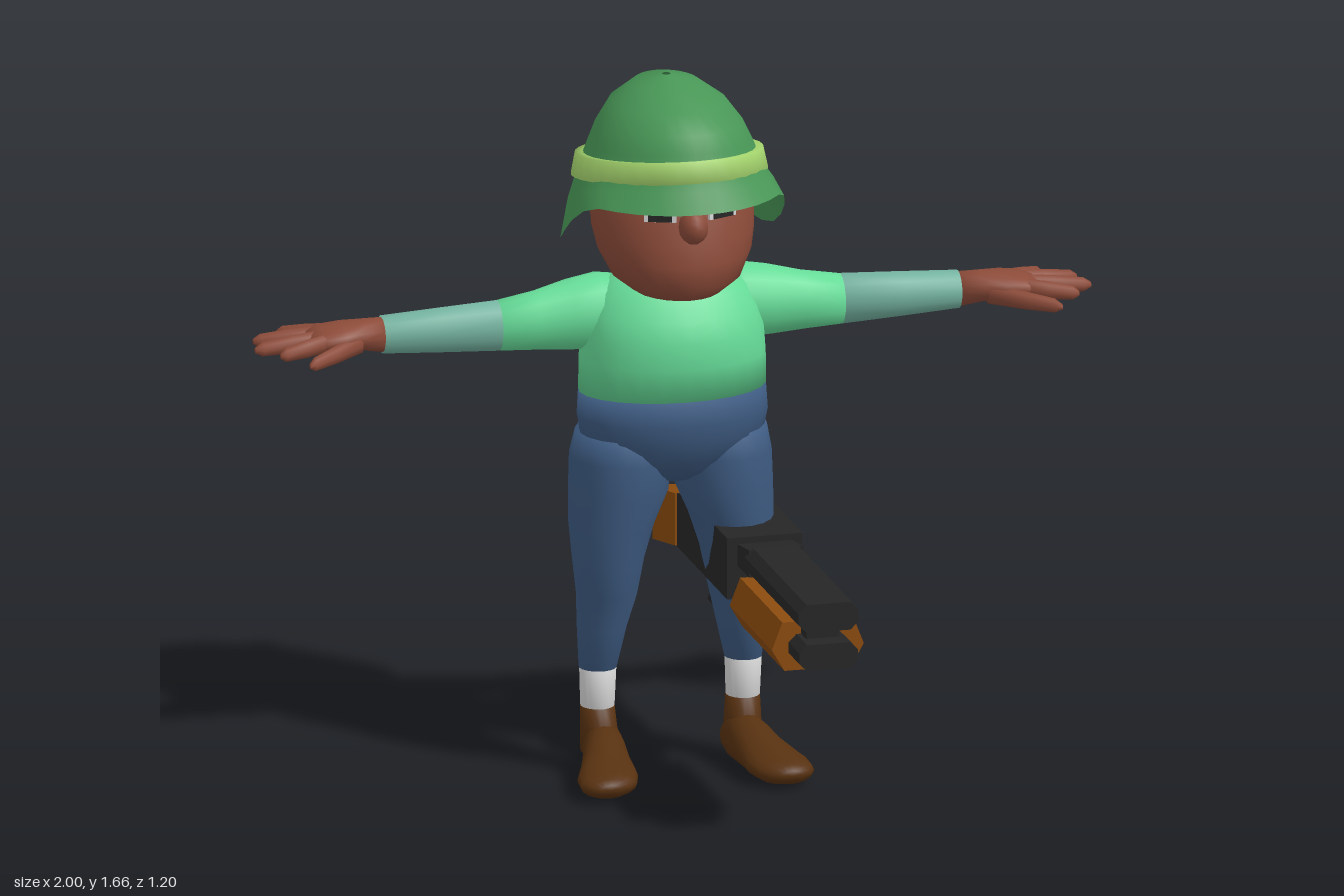
import * as THREE from 'three';

const mat = (name, color, side = THREE.FrontSide) =>
  Object.assign(new THREE.MeshStandardMaterial({ color, side }), { name });

// Elliptical cross-sections [t, centreA, centreB, radiusA, radiusB] strung along an axis
// (x: A=y B=z, y: A=x B=z, z: A=x B=y), with an optional rule that moves each point.
function loft(axis, rings, { n = 20, caps = true, warp } = {}) {
  const pos = [], idx = [];
  const flip = (axis === 'y') !== (rings[rings.length - 1][0] < rings[0][0]);
  const put = (t, a, b, i, ang) => {
    const v = axis === 'x' ? new THREE.Vector3(t, a, b)
      : axis === 'y' ? new THREE.Vector3(a, t, b) : new THREE.Vector3(a, b, t);
    if (warp) warp(v, i, ang);
    pos.push(v.x, v.y, v.z);
  };
  const tri = (a, b, c) => (flip ? idx.push(a, c, b) : idx.push(a, b, c));
  rings.forEach(([t, ca, cb, ra, rb], i) => {
    for (let j = 0; j < n; j++) {
      const ang = (j / n) * Math.PI * 2;
      put(t, ca + ra * Math.cos(ang), cb + rb * Math.sin(ang), i, ang);
    }
  });
  for (let i = 0; i < rings.length - 1; i++) for (let j = 0; j < n; j++) {
    const a = i * n + j, b = i * n + (j + 1) % n;
    tri(a, b, b + n);
    tri(a, b + n, a + n);
  }
  if (caps) {
    const last = rings.length - 1, s = rings.length * n;
    put(rings[0][0], rings[0][1], rings[0][2], 0, 0);
    put(rings[last][0], rings[last][1], rings[last][2], last, 0);
    for (let j = 0; j < n; j++) {
      const k = (j + 1) % n;
      tri(s, k, j);
      tri(s + 1, last * n + j, last * n + k);
    }
  }
  const g = new THREE.BufferGeometry();
  g.setAttribute('position', new THREE.Float32BufferAttribute(pos, 3));
  g.setIndex(idx);
  g.computeVertexNormals();
  return g;
}

// Ring for an upright loft, from half-width and front/back depth
const slab = (y, rx, front, back) => [y, 0, (front + back) / 2, rx, (front - back) / 2];

const polygon = (pts) => new THREE.Shape(pts.map(([a, b]) => new THREE.Vector2(a, b)));

// Side outline [z, y] given a thickness in x
function sideSolid(pts, x, width) {
  const g = new THREE.ExtrudeGeometry(polygon(pts), { depth: width, bevelEnabled: false });
  return g.translate(0, 0, -width / 2).rotateY(-Math.PI / 2).translate(x, 0, 0);
}

// Front outline [x, y] drawn out from z0 to z1
const frontSolid = (pts, z0, z1) =>
  new THREE.ExtrudeGeometry(polygon(pts), { depth: z1 - z0, bevelEnabled: false }).translate(0, 0, z0);

export function createModel() {
  const root = new THREE.Group();
  root.name = 'soldier';
  const helmetGreen = mat('helmetGreen', 0x489656, THREE.DoubleSide);
  const bandLime = mat('bandLime', 0xa6d66e, THREE.DoubleSide);
  const skin = mat('skin', 0x8c4b39);
  const shirt = mat('shirtGreen', 0x66dc98);
  const sleeve = mat('sleeveTeal', 0x74b29f);
  const blue = mat('trouserBlue', 0x3d5a80);
  const white = mat('sockWhite', 0xd8d8d8);
  const shoeBrown = mat('shoeBrown', 0x573110);
  const black = mat('gunBlack', 0x262626);
  const wood = mat('gunWood', 0x8c4b0e);
  const add = (parent, name, geo, material) => {
    const m = new THREE.Mesh(geo, material);
    m.name = name;
    parent.add(m);
    return m;
  };

  // Torso
  add(root, 'shirt', loft('y', [
    slab(0.92, 0.222, 0.0, -0.3), slab(1.0, 0.22, 0.013, -0.31), slab(1.06, 0.215, 0.015, -0.31),
    slab(1.11, 0.205, -0.005, -0.295), slab(1.16, 0.18, -0.035, -0.27), slab(1.195, 0.14, -0.07, -0.24),
    slab(1.21, 0.09, -0.1, -0.21),
  ], { n: 24 }), shirt);
  add(root, 'waist', loft('y', [
    slab(0.705, 0.05, -0.09, -0.2), slab(0.725, 0.12, -0.06, -0.25), slab(0.76, 0.18, -0.03, -0.28),
    slab(0.81, 0.217, -0.005, -0.297), slab(0.86, 0.226, 0.003, -0.3), slab(0.92, 0.222, 0.0, -0.3),
  ], { n: 24 }), blue);

  // Head
  const head = new THREE.Group();
  head.name = 'head';
  root.add(head);
  add(head, 'face', loft('y', [
    slab(1.155, 0.06, -0.04, -0.22), slab(1.17, 0.105, 0.015, -0.25), slab(1.205, 0.15, 0.052, -0.285),
    slab(1.26, 0.178, 0.056, -0.315), slab(1.31, 0.188, 0.046, -0.335), slab(1.38, 0.192, 0.028, -0.34),
    slab(1.45, 0.17, 0.0, -0.33), slab(1.5, 0.12, -0.05, -0.29),
  ], { n: 24 }), skin);
  add(head, 'nose', new THREE.SphereGeometry(1, 12, 8).scale(0.035, 0.042, 0.042).translate(0, 1.355, 0.036), skin);
  for (const s of [1, -1]) {
    const eye = new THREE.Group();
    eye.name = s > 0 ? 'leftEye' : 'rightEye';
    eye.position.set(s * 0.074, 1.385, 0.017);
    eye.rotation.y = s * 0.38;
    head.add(eye);
    add(eye, 'eyeWhite', new THREE.BoxGeometry(0.075, 0.036, 0.009), white);
    add(eye, 'pupil', new THREE.BoxGeometry(0.055, 0.038, 0.009).translate(0, 0.002, 0.003), black);
  }

  // Helmet: tilted dome whose rim dips at the sides and lifts over the face
  const tilt = (v) => { v.y += (v.z + 0.175) * 0.16 * THREE.MathUtils.clamp((1.655 - v.y) / 0.17, 0, 1); };
  const rimY = (s) => 1.27 + 0.135 * THREE.MathUtils.smoothstep(s, -0.35, 0.6)
    + 0.055 * THREE.MathUtils.smoothstep(-s, 0.35, 1);
  const rimBlend = [0, 0, 0, 0, 0, 0, 0.5, 1];
  add(head, 'helmet', loft('y', [
    slab(1.656, 0.01, -0.19, -0.21), slab(1.64, 0.075, -0.1, -0.29), slab(1.6, 0.133, -0.02, -0.352),
    slab(1.55, 0.168, 0.035, -0.385), slab(1.5, 0.19, 0.055, -0.4), slab(1.455, 0.208, 0.065, -0.408),
    slab(1.42, 0.238, 0.088, -0.415), slab(1.38, 0.26, 0.113, -0.405),
  ].reverse(), {
    n: 32, caps: false,
    warp: (v, i, ang) => {
      const w = rimBlend[7 - i];
      const flat = w > 0 ? 1.455 : v.y;
      v.y = flat;
      tilt(v);
      v.y = THREE.MathUtils.lerp(v.y, rimY(Math.sin(ang)), w);
    },
  }), helmetGreen);
  add(head, 'helmetBand', loft('y', [
    slab(1.43, 0.205, 0.05, -0.4), slab(1.43, 0.227, 0.078, -0.424),
    slab(1.482, 0.216, 0.07, -0.422), slab(1.482, 0.19, 0.05, -0.39),
  ], { n: 32, caps: false, warp: tilt }), bandLime);
  for (const s of [1, -1]) {
    const knot = add(head, 'bandKnot', new THREE.BoxGeometry(0.035, 0.055, 0.02), bandLime);
    knot.position.set(s * 0.1, 1.422, -0.398);
    knot.rotation.y = s * 0.4;
  }

  for (const s of [1, -1]) {
    const side = s > 0 ? 'left' : 'right';
    // Arm and hand
    const arm = new THREE.Group();
    arm.name = side + 'Arm';
    root.add(arm);
    const along = (rings, n) => loft('x', rings.map(([x, ...r]) => [x * s, ...r]), { n });
    add(arm, 'upperSleeve', along([
      [0.1, 1.1, -0.18, 0.085, 0.08], [0.17, 1.105, -0.18, 0.09, 0.085], [0.24, 1.1, -0.18, 0.083, 0.075],
      [0.32, 1.093, -0.177, 0.07, 0.059], [0.41, 1.088, -0.175, 0.06, 0.05],
    ], 16), shirt);
    add(arm, 'forearmSleeve', along([
      [0.41, 1.088, -0.175, 0.06, 0.05], [0.55, 1.089, -0.172, 0.053, 0.045], [0.69, 1.09, -0.17, 0.045, 0.04],
    ], 16), sleeve);
    add(arm, 'palm', along([
      [0.69, 1.09, -0.17, 0.041, 0.039], [0.74, 1.096, -0.163, 0.036, 0.048], [0.79, 1.098, -0.157, 0.034, 0.064],
      [0.84, 1.096, -0.16, 0.028, 0.068], [0.87, 1.092, -0.162, 0.018, 0.055],
    ], 16), skin);
    const fingers = [
      [0.79, -0.195, 0.915, -0.265], [0.82, -0.185, 0.985, -0.213], [0.82, -0.155, 1.0, -0.142],
      [0.82, -0.125, 0.955, -0.082], [0.75, -0.13, 0.9, -0.025],
    ];
    fingers.forEach(([x0, z0, x1, z1], i) => {
      const at = (k, r) => [x0 + (x1 - x0) * k, 1.096 - 0.012 * k - (i === 4 ? 0.012 : 0), z0 + (z1 - z0) * k, r * 0.95, r];
      add(arm, i === 4 ? 'thumb' : 'finger',
        along([at(0, 0.024), at(0.5, 0.023), at(0.9, 0.018), at(1, 0.007)], 8), skin);
    });

    // Leg, sock and shoe
    const leg = new THREE.Group();
    leg.name = side + 'Leg';
    root.add(leg);
    const up = (rings) => loft('y', rings.map(([y, x, ...r]) => [y, x * s, ...r]), { n: 18 });
    add(leg, 'trouserLeg', up([
      [0.25, 0.174, -0.165, 0.044, 0.046], [0.35, 0.165, -0.162, 0.058, 0.06], [0.43, 0.157, -0.15, 0.07, 0.08],
      [0.52, 0.153, -0.152, 0.083, 0.1], [0.6, 0.143, -0.16, 0.098, 0.12], [0.68, 0.125, -0.163, 0.115, 0.133],
      [0.76, 0.122, -0.165, 0.115, 0.136], [0.82, 0.12, -0.16, 0.105, 0.12],
    ]), blue);
    add(leg, 'sock', up([
      [0.14, 0.174, -0.168, 0.039, 0.042], [0.25, 0.174, -0.164, 0.043, 0.045],
    ]), white);
    add(leg, 'shoeAnkle', up([
      [0.05, 0.17, -0.155, 0.046, 0.056], [0.1, 0.172, -0.162, 0.043, 0.05], [0.157, 0.174, -0.168, 0.04, 0.043],
    ]), shoeBrown);
    add(leg, 'shoe', loft('z', [
      [-0.215, 0.163, 0.045, 0.02, 0.025], [-0.2, 0.164, 0.05, 0.036, 0.046], [-0.15, 0.167, 0.062, 0.048, 0.062],
      [-0.1, 0.175, 0.058, 0.052, 0.058], [-0.04, 0.188, 0.047, 0.06, 0.046], [0.03, 0.203, 0.039, 0.073, 0.036],
      [0.075, 0.212, 0.034, 0.067, 0.03], [0.1, 0.216, 0.034, 0.05, 0.023], [0.112, 0.218, 0.034, 0.025, 0.012],
    ].map(([z, x, ...r]) => [z, x * s, ...r]), { n: 16, warp: (v) => { v.y = Math.max(v.y, v.z > -0.1 ? 0.002 : 0); } }), shoeBrown);
  }

  // Pump-action long gun hanging beside the left leg
  const gun = new THREE.Group();
  gun.name = 'gun';
  root.add(gun);
  const gx = 0.17;
  const hex = (y0, y1, w) => {
    const c = (y1 - y0) * 0.3, h = w / 2;
    return [[gx - h + c, y0], [gx + h - c, y0], [gx + h, y0 + c], [gx + h, y1 - c],
      [gx + h - c, y1], [gx - h + c, y1], [gx - h, y1 - c], [gx - h, y0 + c]];
  };
  add(gun, 'barrel', frontSolid(hex(0.53, 0.597, 0.145), 0.13, 0.6), black);
  add(gun, 'barrelBase', sideSolid([[0.03, 0.53], [0.14, 0.53], [0.14, 0.596], [0.03, 0.58]], gx, 0.13), black);
  add(gun, 'magazineTube', frontSolid(hex(0.437, 0.5, 0.14), 0.03, 0.6), black);
  add(gun, 'barrelRib', new THREE.BoxGeometry(0.08, 0.06, 0.52).translate(gx, 0.515, 0.29), black);
  add(gun, 'pump', frontSolid([
    [gx - 0.08, 0.413], [gx + 0.08, 0.413], [gx + 0.11, 0.465], [gx + 0.085, 0.53],
    [gx - 0.085, 0.53], [gx - 0.11, 0.465],
  ], 0.135, 0.505), wood);
  add(gun, 'receiver', sideSolid([
    [0.04, 0.45], [0.04, 0.597], [-0.3, 0.597], [-0.4, 0.578], [-0.4, 0.45],
  ], gx, 0.18), black);
  add(gun, 'stock', sideSolid([
    [-0.4, 0.452], [-0.4, 0.578], [-0.6, 0.538], [-0.6, 0.41],
  ], gx, 0.188), wood);
  add(gun, 'triggerGrip', sideSolid([
    [-0.17, 0.455], [-0.21, 0.455], [-0.335, 0.338], [-0.258, 0.338], [-0.175, 0.41],
  ], gx, 0.07), black);
  return root;
}
